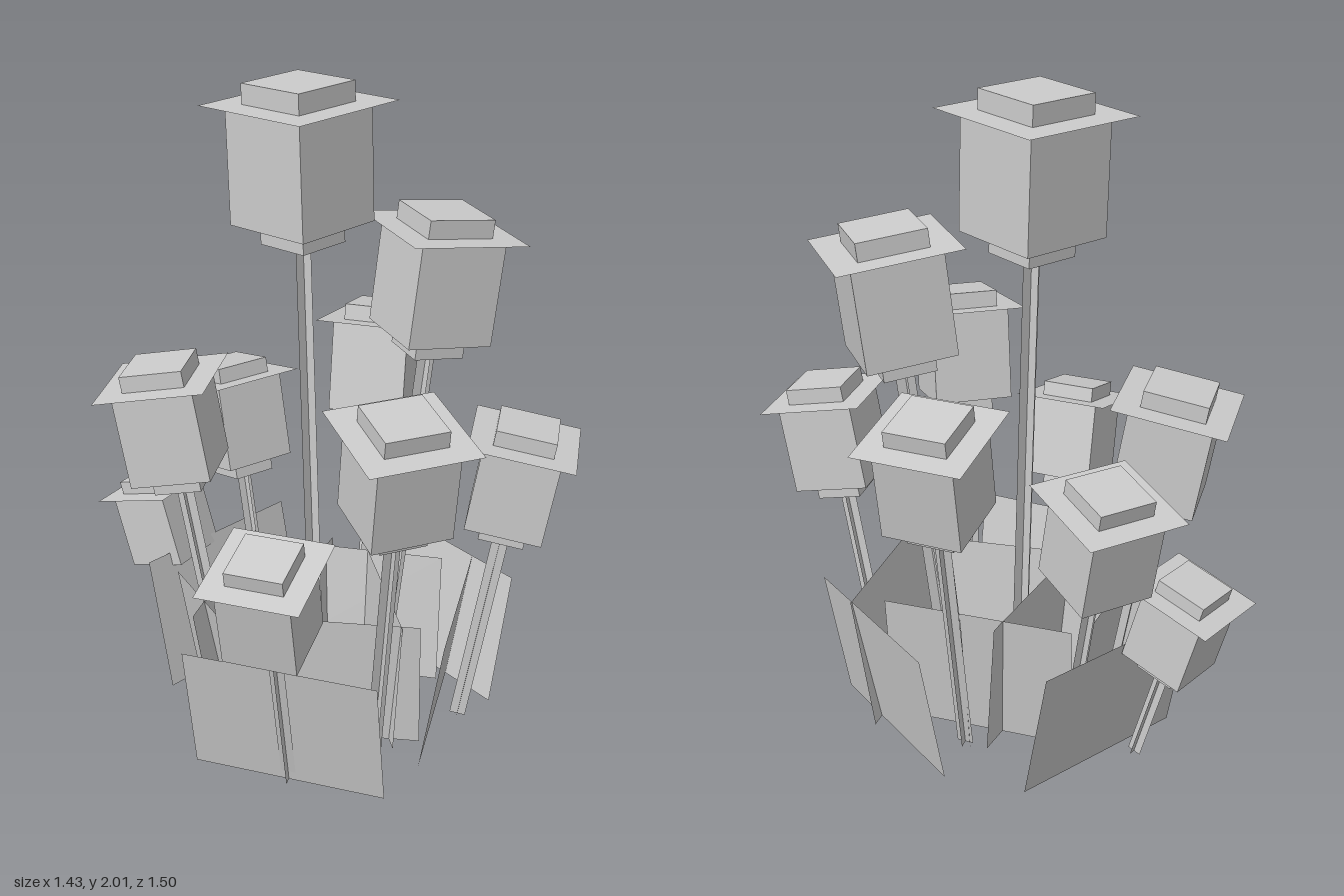
import * as THREE from 'three';

const material = new THREE.MeshStandardMaterial({ color: 0xcccccc, flatShading: true, side: THREE.DoubleSide });

function addMesh(parent, name, geometry, y = 0) {
  const mesh = new THREE.Mesh(geometry, material);
  mesh.name = name;
  mesh.position.y = y;
  parent.add(mesh);
  return mesh;
}

// Lantern-shaped bloom on a crossed-plane stem; s is the brim width
function makeFlower([bx, by, bz], [gx, gz], s, yaw) {
  const flower = new THREE.Group();
  flower.name = 'flower';
  flower.position.set(gx, 0, gz);
  const axis = new THREE.Vector3(bx - gx, by, bz - gz);
  const length = axis.length();
  flower.quaternion
    .setFromUnitVectors(new THREE.Vector3(0, 1, 0), axis.normalize())
    .multiply(new THREE.Quaternion().setFromAxisAngle(new THREE.Vector3(0, 1, 0), yaw));

  const block = (name, w, h, y) =>
    addMesh(flower, name, new THREE.BoxGeometry(w * s, h * s, w * s), length + y * s);
  block('cap', 0.565, 0.15, 0.075);
  block('head', 0.73, 0.87, -0.435);
  block('headBase', 0.43, 0.15, -0.945);
  addMesh(flower, 'brim', new THREE.PlaneGeometry(s, s).rotateX(-Math.PI / 2), length);

  // stem: two planes crossing at right angles
  const stemLength = length - 0.9 * s;
  for (const turn of [0, Math.PI / 2]) {
    addMesh(flower, 'stem', new THREE.PlaneGeometry(0.155 * s, stemLength).rotateY(turn), stemLength / 2);
  }
  return flower;
}

// Flat leaf panel: top edge from a to b, bottom edge moved inward by inset
function makePanel([ax, az], [bx, bz], inset) {
  const height = 0.425;
  const n = new THREE.Vector2(-(bz - az), bx - ax).normalize();
  if (n.x * (ax + bx) + n.y * (az + bz) > 0) n.negate();
  n.multiplyScalar(inset);
  const geometry = new THREE.PlaneGeometry(1, 1);
  const p = geometry.attributes.position;
  p.setXYZ(0, ax, height, az);
  p.setXYZ(1, bx, height, bz);
  p.setXYZ(2, ax + n.x, 0, az + n.y);
  p.setXYZ(3, bx + n.x, 0, bz + n.y);
  geometry.computeVertexNormals();
  return geometry;
}

export function createModel() {
  const model = new THREE.Group();
  model.name = 'flowerCluster';

  // brim centre, stem foot (x, z), brim width, turn
  const flowers = [
    [[-0.09, 1.938, -0.105], [-0.055, -0.06], 0.406, 0.555],
    [[0.33, 1.555, -0.033], [0.143, -0.03], 0.375, 0.158],
    [[-0.5, 1.09, -0.215], [-0.335, -0.125], 0.345, -0.417],
    [[-0.225, 0.94, -0.545], [-0.15, -0.355], 0.322, 0.38],
    [[-0.49, 0.6, -0.49], [-0.365, -0.37], 0.28, 0.755],
    [[0.255, 1.135, -0.43], [0.14, -0.24], 0.335, -0.565],
    [[0.5, 0.985, 0.265], [0.345, 0.18], 0.32, -0.42],
    [[0.045, 1.165, 0.515], [0.03, 0.31], 0.34, 0.129],
    [[-0.35, 0.81, 0.54], [-0.255, 0.385], 0.305, -0.59],
  ];
  for (const f of flowers) model.add(makeFlower(...f));

  // outer leaves lean outward, inner leaves stand nearly upright
  const panels = [
    [[-0.475, -0.205], [-0.345, 0.375], 0.07],
    [[-0.48, 0.085], [-0.175, -0.42], 0.07],
    [[-0.55, 0.285], [-0.05, 0.62], 0.08],
    [[0.2, 0.46], [0.47, -0.075], 0.07],
    [[0.54, 0.105], [0.3, -0.45], 0.08],
    [[-0.045, -0.605], [-0.555, -0.285], 0.09],
    [[-0.165, -0.355], [0.365, -0.075], 0.05],
    [[-0.375, 0.1], [0.17, 0.325], 0.03],
    [[-0.285, 0.185], [0.06, -0.305], 0.025],
    [[0.115, 0.32], [0.155, -0.28], 0.025],
  ];
  for (const [a, b, inset] of panels) addMesh(model, 'leafPanel', makePanel(a, b, inset));

  return model;
}
